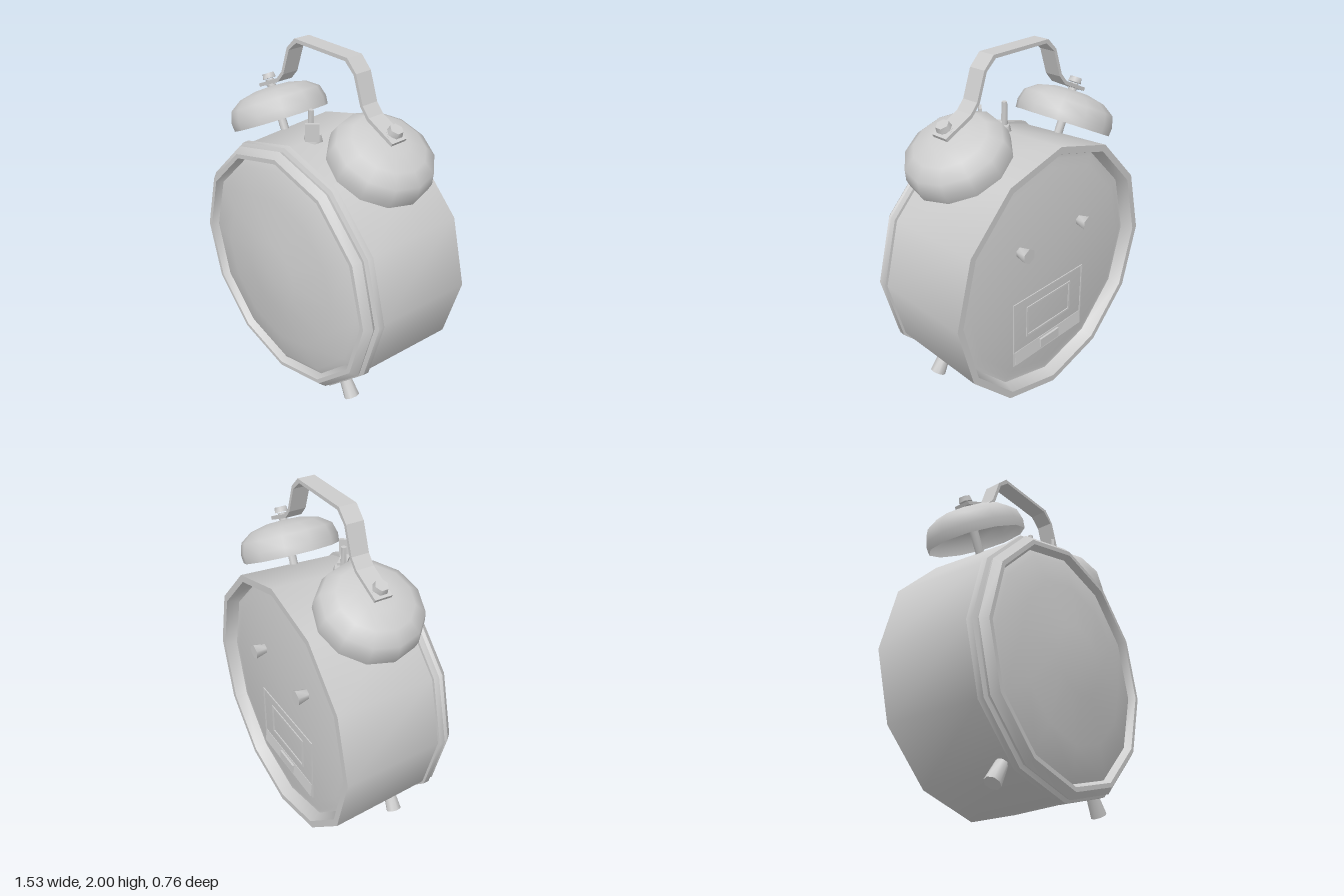
import * as THREE from 'three';
import { toCreasedNormals } from 'three/addons/utils/BufferGeometryUtils.js';

const CENTRE_Y = 0.767;
const grey = new THREE.MeshStandardMaterial({ color: 0xcccccc });
const greyThin = new THREE.MeshStandardMaterial({ color: 0xcccccc, side: THREE.DoubleSide });

function part(parent, name, geometry, position = [0, 0, 0], material = grey) {
  const mesh = new THREE.Mesh(geometry, material);
  mesh.name = name;
  mesh.position.set(...position);
  parent.add(mesh);
  return mesh;
}

// Profile of [radius, height] pairs spun around y, soft between facets, sharp at edges
function turned(profile, sides, crease = 0.62) {
  const points = profile.map(([r, h]) => new THREE.Vector2(r, h));
  return toCreasedNormals(new THREE.LatheGeometry(points, sides), crease);
}

const facing = (profile, crease) => turned(profile, 12, crease).rotateX(Math.PI / 2);

function cylinder(rTop, rBottom, height, sides) {
  return toCreasedNormals(new THREE.CylinderGeometry(rTop, rBottom, height, sides), 1.1);
}

// Thin rectangular frame with an open middle
function frame(width, height, border, depth) {
  const rect = (target, w, h) => {
    target.moveTo(-w, -h);
    target.lineTo(w, -h);
    target.lineTo(w, h);
    target.lineTo(-w, h);
    target.closePath();
    return target;
  };
  const shape = rect(new THREE.Shape(), width / 2, height / 2);
  shape.holes.push(rect(new THREE.Path(), width / 2 - border, height / 2 - border));
  return new THREE.ExtrudeGeometry(shape, { depth, bevelEnabled: false });
}

export function createModel() {
  const clock = new THREE.Group();
  clock.name = 'alarmClock';

  // Tapered drum with a recessed back panel
  part(clock, 'body', facing([
    [0, -0.312], [0.63, -0.312], [0.68, -0.3], [0.7, -0.3], [0.725, -0.37],
    [0.765, -0.37], [0.735, 0.22], [0.6, 0.22],
  ]), [0, CENTRE_Y, 0]);

  // Front bezel and domed glass
  part(clock, 'bezel', facing([
    [0.7, 0.215], [0.75, 0.22], [0.748, 0.255], [0.725, 0.265], [0.735, 0.285],
    [0.7, 0.322], [0.675, 0.322], [0.655, 0.28],
  ], 0.7), [0, CENTRE_Y, 0], greyThin);
  part(clock, 'glass', facing([
    [0.67, 0.275], [0.62, 0.3], [0.46, 0.33], [0.2, 0.367], [0, 0.38],
  ]), [0, CENTRE_Y, 0]);

  // Bells, their posts and nuts, and the feet, mirrored
  for (const s of [1, -1]) {
    const side = s > 0 ? 'left' : 'right';
    const bell = new THREE.Group();
    bell.name = `${side}BellAssembly`;
    bell.position.set(s * 0.4, 1.475, -0.04);
    bell.rotation.z = -s * 0.455;
    clock.add(bell);
    part(bell, 'bell', turned([
      [0.283, 0], [0.287, 0.05], [0.268, 0.115], [0.2, 0.162], [0.1, 0.185], [0, 0.19],
    ], 12, 0.9), [0, 0, 0], greyThin);
    part(bell, 'bellPost', cylinder(0.025, 0.025, 0.34, 8), [0, 0.06, 0]);
    part(bell, 'bellWasher', cylinder(0.04, 0.04, 0.022, 6), [0, 0.212, 0]);
    part(bell, 'bellNut', cylinder(0.036, 0.042, 0.03, 6), [0, 0.25, 0]);

    const foot = part(clock, `${side}Foot`, cylinder(0.034, 0.046, 0.13, 8), [s * 0.428, 0.1, 0.16]);
    foot.rotation.z = s * 0.55;

    // Setting knobs on the back
    const knob = part(clock, `${side}BackKnob`, cylinder(0.045, 0.028, 0.075, 6), [s * 0.25, 0.99, -0.345]);
    knob.rotation.x = -Math.PI / 2;
  }

  // Bent strip handle: outer line, then the inner line back again
  const outer = [[0.54, 1.655], [0.37, 1.735], [0.325, 1.785], [0.272, 1.935], [0.205, 2]];
  const inner = [[0.19, 1.98], [0.255, 1.925], [0.308, 1.775], [0.36, 1.717], [0.53, 1.638]];
  const flip = (list) => list.map(([x, y]) => [-x, y]).reverse();
  const outline = [...outer, ...flip(outer), ...flip(inner), ...inner];
  part(clock, 'handle', new THREE.ExtrudeGeometry(
    new THREE.Shape(outline.map(([x, y]) => new THREE.Vector2(x, y))),
    { depth: 0.1, bevelEnabled: false },
  ), [0, 0, -0.09]);

  // Striker between the bells: pivot, pin and bent arm
  const striker = new THREE.Group();
  striker.name = 'striker';
  striker.position.set(0, 1.51, 0.055);
  clock.add(striker);
  part(striker, 'strikerPivot', cylinder(0.045, 0.055, 0.04, 6), [0, 0.01, 0]);
  part(striker, 'strikerPin', cylinder(0.016, 0.02, 0.15, 6), [-0.02, 0.085, 0]);
  const arm = new THREE.Group();
  arm.name = 'strikerArm';
  arm.rotation.y = -0.75;
  striker.add(arm);
  part(arm, 'armFoot', new THREE.BoxGeometry(0.12, 0.015, 0.05), [0.06, 0.045, 0]);
  part(arm, 'armBlade', new THREE.BoxGeometry(0.018, 0.1, 0.075), [0.118, 0.088, 0]);

  // Battery door on the back
  const door = new THREE.Group();
  door.name = 'batteryDoor';
  door.position.set(0, 0, -0.318);
  clock.add(door);
  part(door, 'doorEdge', frame(0.6, 0.42, 0.008, 0.008), [0, 0.46, 0]);
  part(door, 'doorLabelFrame', frame(0.38, 0.2, 0.012, 0.008), [0, 0.505, 0]);
  const ledge = part(door, 'doorLedge', new THREE.BoxGeometry(0.58, 0.08, 0.012), [0, 0.3, 0.002]);
  ledge.rotation.x = 0.15;
  part(door, 'doorLatch', new THREE.BoxGeometry(0.16, 0.06, 0.016), [0, 0.3, -0.004]);

  return clock;
}
